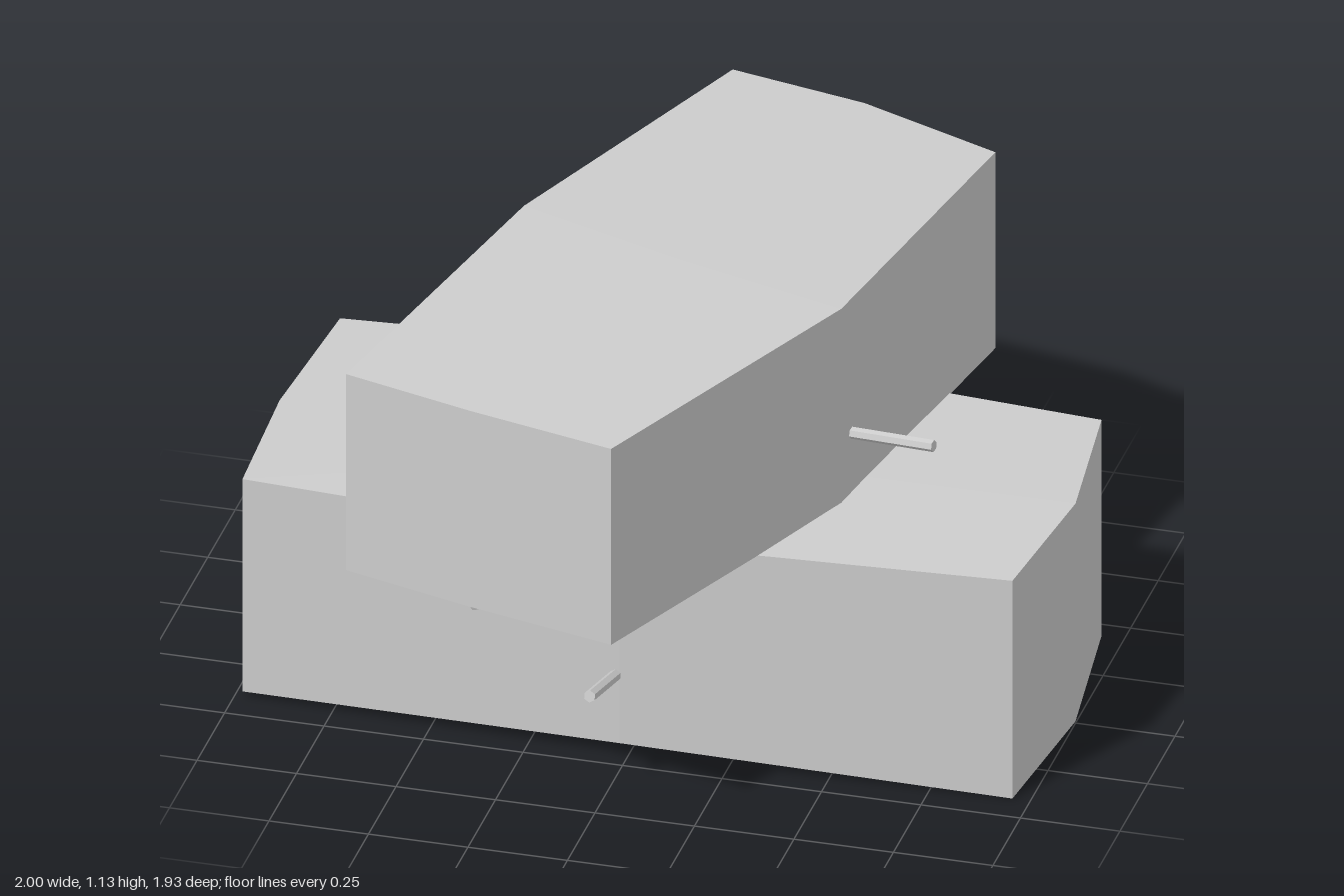
import * as THREE from 'three';

const grey = new THREE.MeshStandardMaterial({ color: 0xcccccc, flatShading: true });
grey.name = 'grey';

// Irregular bale from a ring of [x, z, yBottom, yTop], running clockwise seen from above
function bale(name, ring, centre, yBottom, yTop) {
  const pos = [];
  const low = ring.map(([x, z, b]) => [x, b, z]);
  const high = ring.map(([x, z, , t]) => [x, t, z]);
  const lowMid = [centre[0], yBottom, centre[1]];
  const highMid = [centre[0], yTop, centre[1]];
  const tri = (...pts) => pts.forEach((p) => pos.push(...p));
  ring.forEach((_, i) => {
    const j = (i + 1) % ring.length;
    tri(highMid, high[j], high[i]);
    tri(lowMid, low[i], low[j]);
    tri(low[i], high[i], high[j]);
    tri(low[i], high[j], low[j]);
  });
  const geo = new THREE.BufferGeometry();
  geo.setAttribute('position', new THREE.Float32BufferAttribute(pos, 3));
  geo.computeVertexNormals();
  const mesh = new THREE.Mesh(geo, grey);
  mesh.name = name;
  return mesh;
}

// Thin stalk between two points
function straw(name, from, to) {
  const a = new THREE.Vector3(...from);
  const b = new THREE.Vector3(...to);
  const dir = b.clone().sub(a);
  const mesh = new THREE.Mesh(new THREE.CylinderGeometry(0.015, 0.015, dir.length(), 6), grey);
  mesh.position.copy(a).add(b).multiplyScalar(0.5);
  mesh.quaternion.setFromUnitVectors(new THREE.Vector3(0, 1, 0), dir.normalize());
  mesh.name = name;
  return mesh;
}

export function createModel() {
  const group = new THREE.Group();
  group.name = 'stackedBales';

  // Lower bale, bulging at the middle of each side
  group.add(bale('lowerBale', [
    [-0.97, -0.44, 0.01, 0.6], [0, -0.53, 0.01, 0.59], [0.945, -0.435, 0.005, 0.6], [1, 0, 0.005, 0.605],
    [0.955, 0.41, 0, 0.6], [-0.02, 0.455, 0.035, 0.59], [-0.98, 0.41, 0.015, 0.6], [-1, 0, 0.01, 0.6],
  ], [0, 0], 0.005, 0.6));

  // Upper bale, laid across at an angle
  group.add(bale('upperBale', [
    [-0.13, -0.97, 0.59, 1.13], [0.22, -0.9, 0.59, 1.125], [0.595, -0.735, 0.59, 1.13], [0.45, 0.14, 0.595, 1.135],
    [0.1, 0.965, 0.59, 1.13], [-0.28, 0.87, 0.59, 1.13], [-0.62, 0.77, 0.59, 1.13], [-0.43, -0.16, 0.595, 1.135],
  ], [0, 0], 0.595, 1.135));

  // Loose straws poking out of the sides
  [
    [[0.43, 0.762, 0.075], [0.68, 0.785, 0.13]],
    [[-0.03, 0.215, 0.43], [-0.03, 0.285, 0.69]],
    [[-0.44, 0.415, 0.42], [-0.36, 0.405, 0.53]],
    [[-0.55, 0.505, 0.415], [-0.605, 0.513, 0.46]],
    [[-0.51, 0.825, 0.34], [-0.565, 0.832, 0.385]],
  ].forEach(([a, b], i) => group.add(straw(`straw${i + 1}`, a, b)));

  return group;
}
